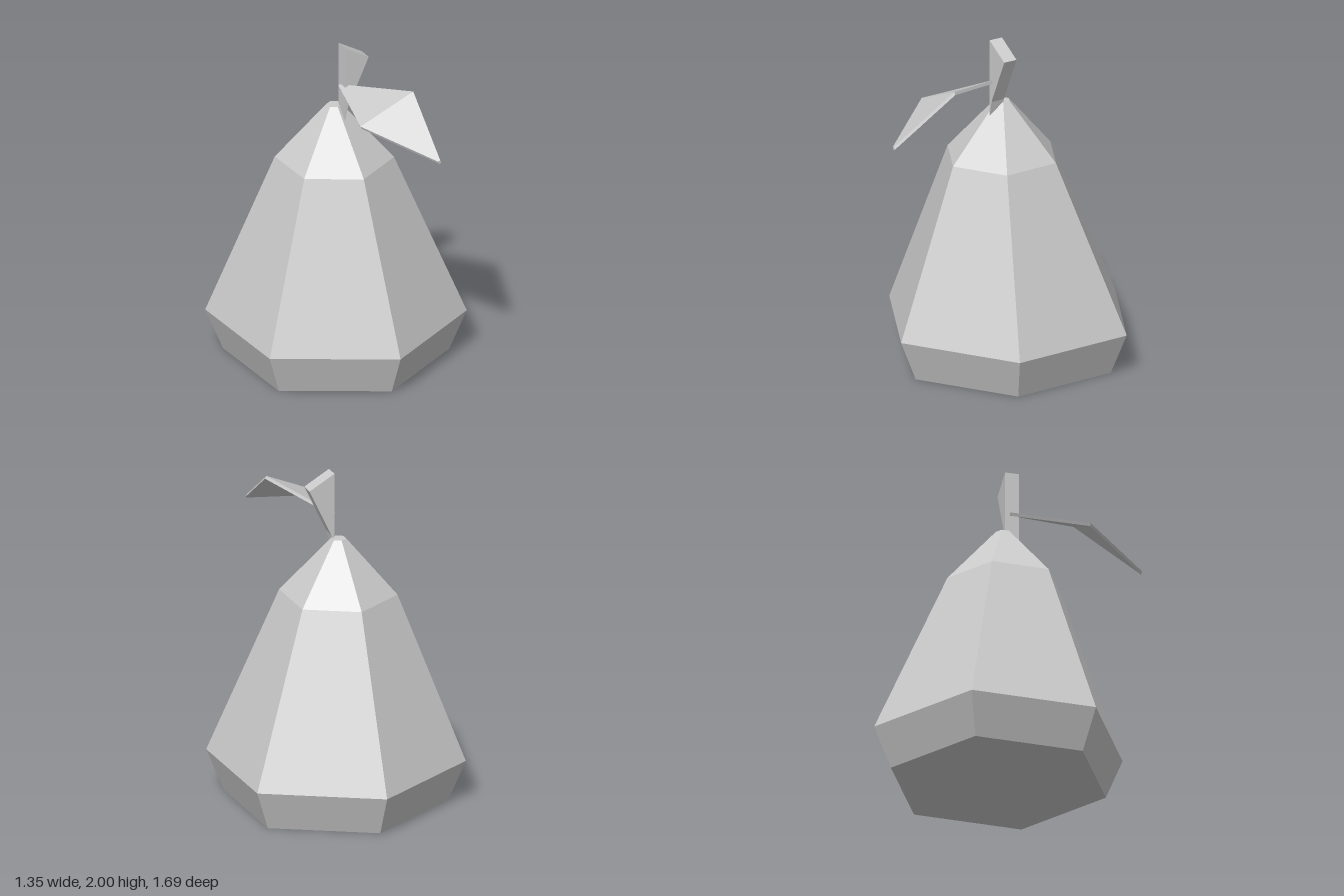
import * as THREE from 'three';

// Closed solid skinned over a series of rings (each ring counterclockwise about the loft direction)
function loft(rings) {
  const n = rings[0].length;
  const pos = [];
  const tri = (...pts) => pts.forEach((p) => pos.push(...p));
  for (let k = 0; k < rings.length - 1; k++) {
    for (let i = 0; i < n; i++) {
      const j = (i + 1) % n;
      const [a, b, c, d] = [rings[k][i], rings[k][j], rings[k + 1][j], rings[k + 1][i]];
      tri(a, b, c);
      tri(a, c, d);
    }
  }
  const first = rings[0];
  const last = rings[rings.length - 1];
  for (let i = 1; i < n - 1; i++) {
    tri(first[0], first[i + 1], first[i]);
    tri(last[0], last[i], last[i + 1]);
  }
  const g = new THREE.BufferGeometry();
  g.setAttribute('position', new THREE.Float32BufferAttribute(pos, 3));
  g.computeVertexNormals();
  return g;
}

// Horizontal hexagon
function hexRing(y, r, cx, cz) {
  return Array.from({ length: 6 }, (_, i) => {
    const t = 0.033 + (i * Math.PI) / 3;
    return [cx + r * Math.sin(t), y, cz + r * Math.cos(t)];
  });
}

// Thin leaf cross-section between a left and a right edge point
function leafSection(z, left, right) {
  const dx = 0.008, dy = -0.017;
  return [
    [right[0] + dx, right[1] + dy, z],
    [right[0], right[1], z],
    [left[0], left[1], z],
    [left[0] + dx, left[1] + dy, z],
  ];
}

export function createModel() {
  const group = new THREE.Group();
  const grey = new THREE.MeshStandardMaterial({ color: 0xcccccc });
  grey.name = 'light grey';
  grey.flatShading = true;

  const add = (name, geometry) => {
    const mesh = new THREE.Mesh(geometry, grey);
    mesh.name = name;
    group.add(mesh);
    return mesh;
  };

  // Six-sided fruit, leaning slightly toward the neck
  add('fruitBody', loft([
    hexRing(0, 0.66, 0, -0.082),
    hexRing(0.25, 0.763, 0, -0.082),
    hexRing(1.26, 0.348, -0.025, -0.055),
    hexRing(1.6, 0.045, -0.025, -0.06),
  ]));

  // Stem, a wedge widening upward
  const profile = new THREE.Shape([
    new THREE.Vector2(-0.005, 1.53),
    new THREE.Vector2(0.015, 1.62),
    new THREE.Vector2(0.15, 1.91),
    new THREE.Vector2(-0.005, 2),
  ]);
  const stem = new THREE.ExtrudeGeometry(profile, { depth: 0.086, bevelEnabled: false });
  add('stem', stem.translate(0, 0, -0.043));

  // Leaf, folded across its middle and drooping to the front
  add('leaf', loft([
    leafSection(-0.015, [-0.02, 1.74], [-0.01, 1.744]),
    leafSection(0.445, [-0.115, 1.69], [0.232, 1.84]),
    leafSection(0.845, [0.186, 1.567], [0.2, 1.573]),
  ]));

  return group;
}
